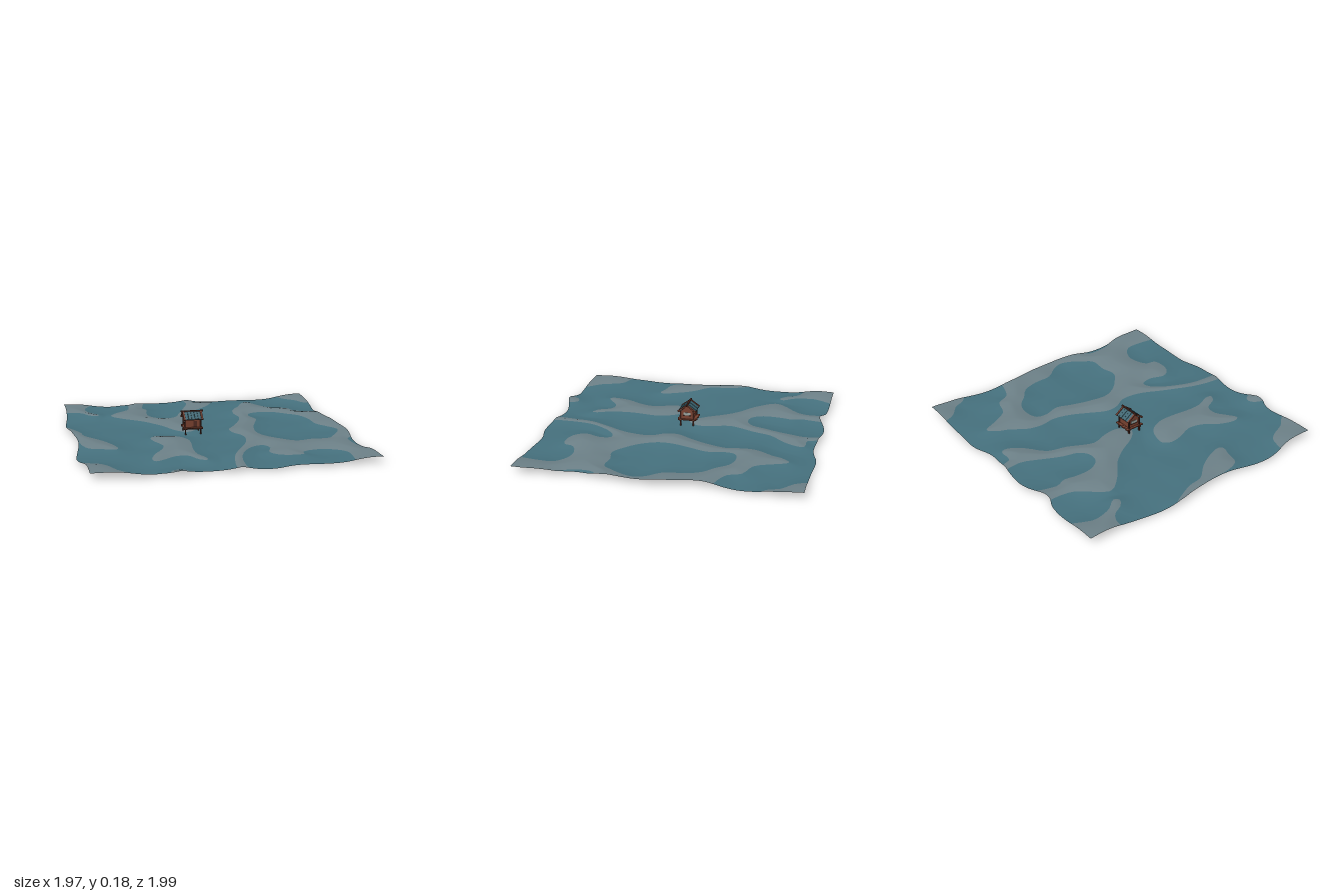
import * as THREE from 'three';
import { mergeVertices } from 'three/addons/utils/BufferGeometryUtils.js';

const mat = (name, color, side = THREE.FrontSide) => {
  const m = new THREE.MeshStandardMaterial({ color, side });
  m.name = name;
  return m;
};

// Crest outlines as x, z pairs on a map of 188.5 units per model unit
const MAP = { x: 1134.5, z: 225, scale: 188.5 };
const CRESTS = {
  backRightCorner: [935, 20, 1000, 25, 985, 62, 985, 75, 990, 92, 1001, 107, 996, 113, 985, 105, 978, 92, 965, 84, 935, 80],
  backFork: [1050, 20, 1050, 60, 1045, 80, 1022, 105, 1017, 117, 1035, 140, 1060, 160, 1078, 183, 1092, 208, 1108, 222,
    1122, 210, 1122, 190, 1115, 165, 1120, 150, 1130, 130, 1138, 105, 1160, 85, 1173, 65, 1171, 56, 1150, 54, 1143, 20,
    1133, 20, 1137, 60, 1128, 85, 1115, 115, 1108, 135, 1095, 143, 1080, 140, 1070, 125, 1070, 100, 1073, 85, 1068, 70, 1079, 20],
  rightEdge: [930, 160, 948, 165, 957, 180, 965, 200, 968, 220, 985, 240, 997, 260, 1005, 285, 1001, 290, 985, 285,
    968, 280, 960, 262, 957, 225, 948, 200, 930, 195],
  frontRightCorner: [930, 348, 970, 352, 980, 362, 990, 385, 1005, 403, 1010, 425, 930, 425],
  frontMiddle: [1060, 235, 1075, 237, 1090, 245, 1100, 265, 1100, 285, 1097, 310, 1098, 335, 1106, 355, 1105, 363, 1095, 358,
    1085, 340, 1070, 338, 1055, 348, 1043, 355, 1039, 348, 1045, 325, 1058, 305, 1063, 285, 1055, 262, 1053, 245],
  frontTip: [1048, 425, 1055, 400, 1065, 396, 1072, 402, 1072, 425],
  leftField: [1227, 68, 1215, 80, 1210, 92, 1195, 115, 1192, 135, 1195, 155, 1188, 180, 1175, 205, 1164, 225, 1165, 242,
    1175, 260, 1172, 290, 1155, 325, 1140, 360, 1134, 425, 1143, 425, 1147, 375, 1155, 345, 1175, 315, 1190, 310, 1195, 325,
    1188, 347, 1200, 362, 1228, 363, 1232, 350, 1258, 342, 1280, 352, 1287, 365, 1285, 425, 1340, 425, 1340, 350, 1315, 345,
    1306, 320, 1309, 298, 1340, 290, 1340, 150, 1310, 148, 1283, 137, 1275, 120, 1250, 110, 1238, 90],
  leftHollow: [1213, 140, 1230, 135, 1250, 140, 1265, 155, 1280, 168, 1288, 190, 1290, 215, 1305, 235, 1310, 250, 1305, 265,
    1295, 280, 1285, 292, 1260, 291, 1240, 295, 1222, 283, 1205, 265, 1197, 245, 1200, 220, 1208, 195, 1215, 175, 1210, 155],
  backLeftCorner: [1280, 20, 1283, 42, 1290, 55, 1305, 68, 1313, 85, 1340, 92, 1340, 20],
};

function smoothLoop(flat) {
  const pts = [];
  for (let i = 0; i < flat.length; i += 2) {
    pts.push(new THREE.Vector3((flat[i] - MAP.x) / MAP.scale, 0, (flat[i + 1] - MAP.z) / MAP.scale));
  }
  return new THREE.CatmullRomCurve3(pts, true).getPoints(pts.length * 3);
}

// Signed distance to the outlines: positive on a crest, negative in a trough
function crestDistance(loops, x, z) {
  let inside = false, best = 9;
  for (const p of loops) {
    for (let i = 1; i < p.length; i++) {
      const a = p[i - 1], b = p[i], ex = b.x - a.x, ez = b.z - a.z;
      if ((a.z > z) !== (b.z > z) && x < a.x + (z - a.z) * ex / ez) inside = !inside;
      const t = THREE.MathUtils.clamp(((x - a.x) * ex + (z - a.z) * ez) / (ex * ex + ez * ez || 1), 0, 1);
      best = Math.min(best, (x - a.x - t * ex) ** 2 + (z - a.z - t * ez) ** 2);
    }
  }
  return Math.sqrt(best) * (inside ? 1 : -1);
}

// Sideways sway of the sheet, as value against position
const swayCurve = (pts) => new THREE.SplineCurve(pts.map(([p, v]) => new THREE.Vector2(p, v)));
function sampler(pts) {
  const line = swayCurve(pts).getPoints(120);
  return (p) => {
    const i = line.findIndex((q) => q.x >= p);
    if (i <= 0) return line[i < 0 ? line.length - 1 : 0].y;
    const a = line[i - 1], b = line[i];
    return a.y + (b.y - a.y) * (p - a.x) / (b.x - a.x);
  };
}

function buildSea(materials) {
  const N = 140;
  const loops = Object.values(CRESTS).map(smoothLoop);
  const swayX = sampler([[-1, 0], [-0.7, -0.002], [-0.34, -0.04], [-0.1, -0.01], [0.15, 0.005], [0.5, -0.042], [0.74, -0.006], [1, 0]]);
  const swayZ = sampler([[-1, 0], [-0.55, 0.015], [-0.41, 0.053], [-0.17, -0.003], [0.2, 0.028], [0.4, -0.01], [0.65, 0.002], [1, 0]]);
  const grid = [];
  for (let j = 0; j <= N; j++) {
    for (let i = 0; i <= N; i++) {
      const u = -0.945 + 1.925 * i / N, v = -0.99 + 1.93 * j / N;
      const x = u + swayX(v), z = v + swayZ(u);
      const d = crestDistance(loops, x, z);
      const y = 0.03 + 0.017 * Math.tanh(d / 0.09) + 0.004 * Math.sin(5 * x + 2 * Math.sin(4 * z)) + 0.001 * Math.sin(22 * z + 4 * x);
      grid.push({ x, y, z, d });
    }
  }
  // Cut every triangle along the outline, so each side keeps its own colour
  const out = [[], []];
  const cut = (tri, s, list) => {
    const poly = [];
    tri.forEach((a, k) => {
      const b = tri[(k + 1) % 3];
      if (a.d * s >= 0) poly.push(a);
      if (a.d * b.d < 0) {
        const [p, q] = a.d < 0 ? [a, b] : [b, a];
        const t = p.d / (p.d - q.d);
        poly.push({ x: p.x + (q.x - p.x) * t, y: p.y + (q.y - p.y) * t, z: p.z + (q.z - p.z) * t });
      }
    });
    for (let k = 2; k < poly.length; k++) {
      for (const p of [poly[0], poly[k - 1], poly[k]]) list.push(p.x, p.y, p.z);
    }
  };
  for (let j = 0; j < N; j++) {
    for (let i = 0; i < N; i++) {
      const a = grid[j * (N + 1) + i], b = grid[j * (N + 1) + i + 1];
      const c = grid[(j + 1) * (N + 1) + i], e = grid[(j + 1) * (N + 1) + i + 1];
      for (const tri of [[a, c, b], [b, c, e]]) {
        cut(tri, -1, out[0]);
        cut(tri, 1, out[1]);
      }
    }
  }
  let geo = new THREE.BufferGeometry();
  geo.setAttribute('position', new THREE.Float32BufferAttribute(out[0].concat(out[1]), 3));
  geo.addGroup(0, out[0].length / 3, 0);
  geo.addGroup(out[0].length / 3, out[1].length / 3, 1);
  geo = mergeVertices(geo, 1e-5);
  geo.computeVertexNormals();
  const sea = new THREE.Mesh(geo, materials);
  sea.name = 'seaSurface';
  return sea;
}

function buildHut(wood, darkWood, roofing, pane) {
  const hut = new THREE.Group();
  hut.name = 'stiltHut';
  const box = (name, m, w, h, d, x, y, z, rx = 0) => {
    const mesh = new THREE.Mesh(new THREE.BoxGeometry(w, h, d), m);
    mesh.name = name;
    mesh.position.set(x, y, z);
    mesh.rotation.x = rx;
    hut.add(mesh);
  };
  // Deck and cabin
  for (let i = 0; i < 6; i++) box('deckPlank', wood, 0.021, 0.007, i % 2 ? 0.132 : 0.142, -0.0575 + i * 0.023, 0.067, 0);
  box('cabin', wood, 0.104, 0.062, 0.086, 0, 0.1, 0);
  box('frontDoor', darkWood, 0.026, 0.044, 0.004, 0.015, 0.093, 0.043);
  const slope = Math.atan2(0.045, 0.062);
  for (const s of [-1, 1]) {
    box('deckBeam', darkWood, 0.14, 0.008, 0.008, 0, 0.06, s * 0.048);
    box('sideWindow', pane, 0.004, 0.02, 0.05, s * 0.053, 0.108, 0);
    box('windowSill', darkWood, 0.008, 0.004, 0.058, s * 0.054, 0.096, 0);
    for (const t of [-1, 1]) {
      box('stilt', darkWood, 0.009, 0.13, 0.009, s * 0.056, 0.065, t * 0.046);
      // Barge beams over the gables
      box('gableBeam', wood, 0.012, 0.01, 0.086, s * 0.064, 0.155, t * 0.031, t * slope);
    }
    // Roof slopes laid in strips
    for (let i = 0; i < 5; i++) {
      box('roofStrip', roofing, 0.021, 0.005 + (i % 2) * 0.003, 0.077, -0.046 + i * 0.023, 0.153, s * 0.031, s * slope);
    }
    box('eaveBeam', wood, 0.145, 0.007, 0.007, 0, 0.129, s * 0.058);
    // Triangular gable wall
    const tri = new THREE.Shape([new THREE.Vector2(-0.046, 0), new THREE.Vector2(0.046, 0), new THREE.Vector2(0, 0.04)]);
    const gable = new THREE.Mesh(new THREE.ExtrudeGeometry(tri, { depth: 0.006, bevelEnabled: false }), wood);
    gable.name = 'gableWall';
    gable.rotation.y = Math.PI / 2;
    gable.position.set(s * 0.05 - 0.003, 0.129, 0);
    hut.add(gable);
  }
  box('ridgeBeam', darkWood, 0.16, 0.01, 0.01, 0, 0.179, 0);
  hut.position.set(-0.112, 0, -0.015);
  return hut;
}

export function createModel() {
  const model = new THREE.Group();
  model.name = 'hutAtSea';
  const water = mat('water', 0x45707d, THREE.DoubleSide);
  const crest = mat('paleCrest', 0x6c8087, THREE.DoubleSide);
  model.add(buildSea([water, crest]));
  model.add(buildHut(mat('redWood', 0x77402f), mat('darkWood', 0x4f2a20), mat('roofing', 0x3b6470), mat('windowPane', 0x9aa39f)));
  return model;
}
